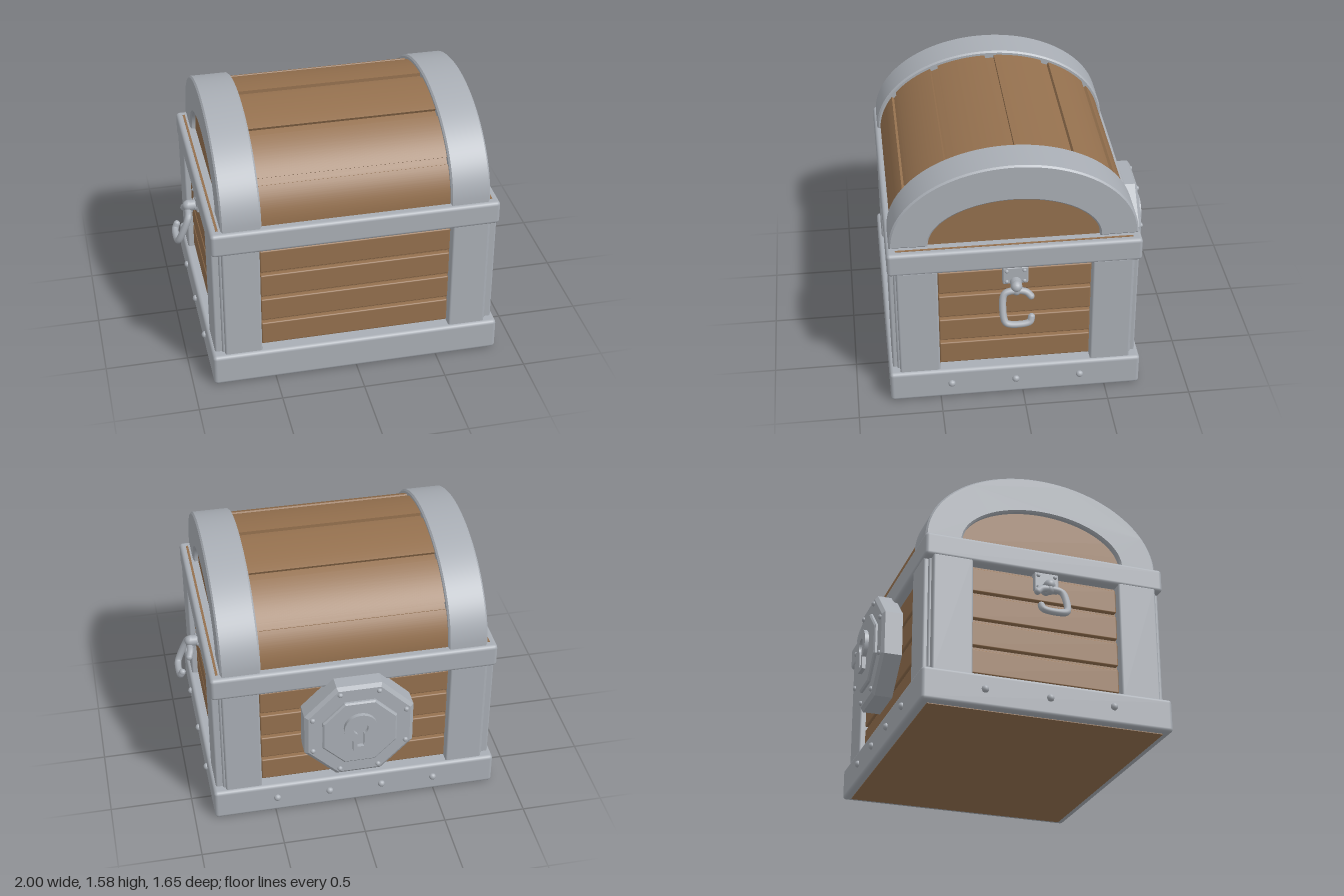
import * as THREE from 'three';
import { toCreasedNormals } from 'three/addons/utils/BufferGeometryUtils.js';
import { RoundedBoxGeometry } from 'three/addons/geometries/RoundedBoxGeometry.js';

const CZ = 0.045; // centre of the chest in z (the lock sticks out at the back)

export function createModel() {
  const wood = new THREE.MeshStandardMaterial({ color: 0x94704e });
  wood.name = 'wood';
  const metal = new THREE.MeshStandardMaterial({ color: 0xa9aeb5 });
  metal.name = 'metal';

  const model = new THREE.Group();
  model.name = 'chest';
  const group = (name) => {
    const g = new THREE.Group();
    g.name = name;
    g.position.z = CZ;
    model.add(g);
    return g;
  };
  const add = (parent, name, geo, mat, x = 0, y = 0, z = 0) => {
    const m = new THREE.Mesh(geo, mat);
    m.name = name;
    m.position.set(x, y, z);
    parent.add(m);
    return m;
  };
  // Bevelled box given by its ranges
  const box = (parent, name, mat, [x0, x1], [y0, y1], [z0, z1], r = 0.012) =>
    add(parent, name, new RoundedBoxGeometry(x1 - x0, y1 - y0, z1 - z0, 2, r), mat,
      (x0 + x1) / 2, (y0 + y1) / 2, (z0 + z1) / 2);
  // Range on the positive or negative side
  const side = (s, a, b) => (s > 0 ? [a, b] : [-b, -a]);

  // ---- Body ----
  const body = group('body');
  add(body, 'core', new THREE.BoxGeometry(1.58, 0.85, 1.34), wood, 0, 0.525, 0);
  box(body, 'baseBand', metal, [-0.877, 0.877], [0.004, 0.205], [-0.757, 0.757], 0.022);
  add(body, 'bottomBoard', new THREE.BoxGeometry(1.66, 0.008, 1.42), wood, 0, 0.004, 0);
  box(body, 'topRim', metal, [-0.86, 0.86], [0.912, 1.06], [-0.742, 0.742], 0.022);

  for (const s of [1, -1]) {
    add(body, 'rimSeam', new THREE.BoxGeometry(0.014, 0.006, 1.38), wood, s * 0.815, 1.059, 0);
    for (const t of [1, -1]) {
      box(body, 'facePost', metal, side(s, 0.577, 0.80), [0.19, 0.93], side(t, 0.64, 0.735));
      box(body, 'sidePost', metal, side(s, 0.76, 0.857), [0.19, 0.93], side(t, 0.453, 0.693));
      box(body, 'cornerPost', metal, side(s, 0.74, 0.815), [0.19, 0.93], side(t, 0.64, 0.708));
    }
    // Four horizontal boards on every face
    for (let i = 0; i < 4; i++) {
      const y = [0.226 + i * 0.172, 0.374 + i * 0.172];
      box(body, 'faceBoard', wood, [-0.572, 0.572], y, side(s, 0.64, 0.70), 0.008);
      box(body, 'sideBoard', wood, side(s, 0.76, 0.82), y, [-0.45, 0.45], 0.008);
    }
  }

  // ---- Studs on the sides and back of the base ----
  const stud = (parent, x, y, z, r, axis) => {
    const m = add(parent, 'stud', new THREE.SphereGeometry(r, 12, 8), metal, x, y, z);
    m.scale[axis] = 0.9;
  };
  for (const s of [1, -1])
    for (const z of [-0.388, 0, 0.388]) stud(body, s * 0.879, 0.11, z, 0.022, 'x');
  for (const x of [-0.49, -0.163, 0.163, 0.49]) stud(body, x, 0.11, -0.759, 0.022, 'z');

  // ---- Lid ----
  const lid = group('lid');
  lid.position.y = 1.06;
  // Sector of an elliptical arch, extruded along x
  const arch = (rx, ry, ix, iy, a0, a1, length, bevel) => {
    const sh = new THREE.Shape();
    sh.absellipse(0, 0, rx - bevel, ry - bevel, a0, a1, false);
    if (ix) sh.absellipse(0, 0, ix + bevel, iy + bevel, a1, a0, true);
    const geo = new THREE.ExtrudeGeometry(sh, {
      depth: length - 2 * bevel, curveSegments: 28, bevelEnabled: bevel > 0,
      bevelSize: bevel, bevelThickness: bevel, bevelSegments: 1,
    });
    geo.translate(0, 0, -(length - 2 * bevel) / 2).rotateY(Math.PI / 2);
    return toCreasedNormals(geo, 0.45);
  };
  add(lid, 'lidCore', arch(0.69, 0.472, 0, 0, 0, Math.PI, 1.53, 0), wood);
  for (let i = 0; i < 6; i++) {
    const a = (i * Math.PI) / 6, gap = 0.048;
    add(lid, 'lidBoard',
      arch(0.705, 0.492, 0.66, 0.445, a + gap, a + Math.PI / 6 - gap, 1.13, 0.005), wood);
  }
  for (const s of [1, -1])
    add(lid, 'lidStrap', arch(0.725, 0.507, 0.5, 0.277, 0.012, Math.PI - 0.012, 0.237, 0.01),
      metal, s * 0.679, 0.009, 0);

  // ---- Octagonal lock on the back ----
  const lock = group('lock');
  lock.position.set(0, 0.642, 0);
  const octagon = (name, apTop, apBottom, z0, z1) => {
    const k = 1 / Math.cos(Math.PI / 8), h = z1 - z0;
    const geo = new THREE.CylinderGeometry(apTop * k, apBottom * k, h, 8);
    geo.rotateY(Math.PI / 8).rotateX(-Math.PI / 2);
    add(lock, name, toCreasedNormals(geo, 0.3), metal, 0, 0, -(z0 + z1) / 2 - CZ);
  };
  octagon('lockPlate', 0.33, 0.33, 0.63, 0.738);
  octagon('lockPlateBevel', 0.308, 0.33, 0.738, 0.755);
  octagon('lockBoss', 0.225, 0.225, 0.75, 0.768);
  octagon('lockBossBevel', 0.215, 0.225, 0.768, 0.776);
  for (let i = 0; i < 8; i++) {
    const a = ((i + 0.5) * Math.PI) / 4;
    stud(lock, 0.306 * Math.cos(a), 0.306 * Math.sin(a), -0.757 - CZ, 0.016, 'z');
  }
  // Keyhole surround: a disc with a tail, pierced by the keyhole
  const keyShape = (Type, r, w, tail) => {
    const a = Math.asin(w / r), p = new Type();
    p.moveTo(-w, tail);
    p.lineTo(w, tail);
    p.absarc(0, 0.045, r, -Math.PI / 2 + a, 1.5 * Math.PI - a, false);
    p.closePath();
    return p;
  };
  const plate = keyShape(THREE.Shape, 0.1, 0.045, -0.122);
  plate.holes.push(keyShape(THREE.Path, 0.045, 0.02, -0.09));
  const keyGeo = new THREE.ExtrudeGeometry(plate, { depth: 0.03, bevelEnabled: false, curveSegments: 24 });
  keyGeo.rotateY(Math.PI);
  add(lock, 'keyhole', toCreasedNormals(keyGeo, 0.5), metal, 0, 0, -0.77 - CZ);

  // ---- Side handles: plate, knob and an open hanging loop ----
  // Loop outline as (z, y) points, with the gap towards the back
  const loop = [[-0.083, 0.752], [-0.06, 0.775], [-0.03, 0.785], [0.045, 0.785], [0.07, 0.775],
    [0.082, 0.75], [0.082, 0.64], [0.07, 0.615], [0.045, 0.605], [-0.045, 0.605],
    [-0.072, 0.615], [-0.08, 0.64]];
  for (const s of [1, -1]) {
    const handle = group('handle');
    box(handle, 'handlePlate', metal, side(s, 0.80, 0.85), [0.80, 0.915], [-0.075, 0.075], 0.008);
    for (const z of [-0.052, 0.052])
      for (const y of [0.82, 0.893]) stud(handle, s * 0.85, y, z, 0.012, 'x');
    const knob = new THREE.CapsuleGeometry(0.034, 0.07, 6, 16);
    knob.rotateZ(Math.PI / 2);
    add(handle, 'knob', knob, metal, s * 0.86, 0.815, 0);
    add(handle, 'knobDrop', new THREE.CapsuleGeometry(0.03, 0.035, 6, 16), metal, s * 0.893, 0.803, 0);
    const pts = loop.map(([z, y]) => new THREE.Vector3(s * (0.9 + (0.785 - y) * 0.43), y, z));
    const curve = new THREE.CatmullRomCurve3(pts, false, 'centripetal');
    add(handle, 'loop', new THREE.TubeGeometry(curve, 60, 0.021, 10), metal);
    for (const p of [pts[0], pts[pts.length - 1]])
      add(handle, 'loopEnd', new THREE.SphereGeometry(0.021, 10, 8), metal, p.x, p.y, p.z);
  }
  return model;
}
